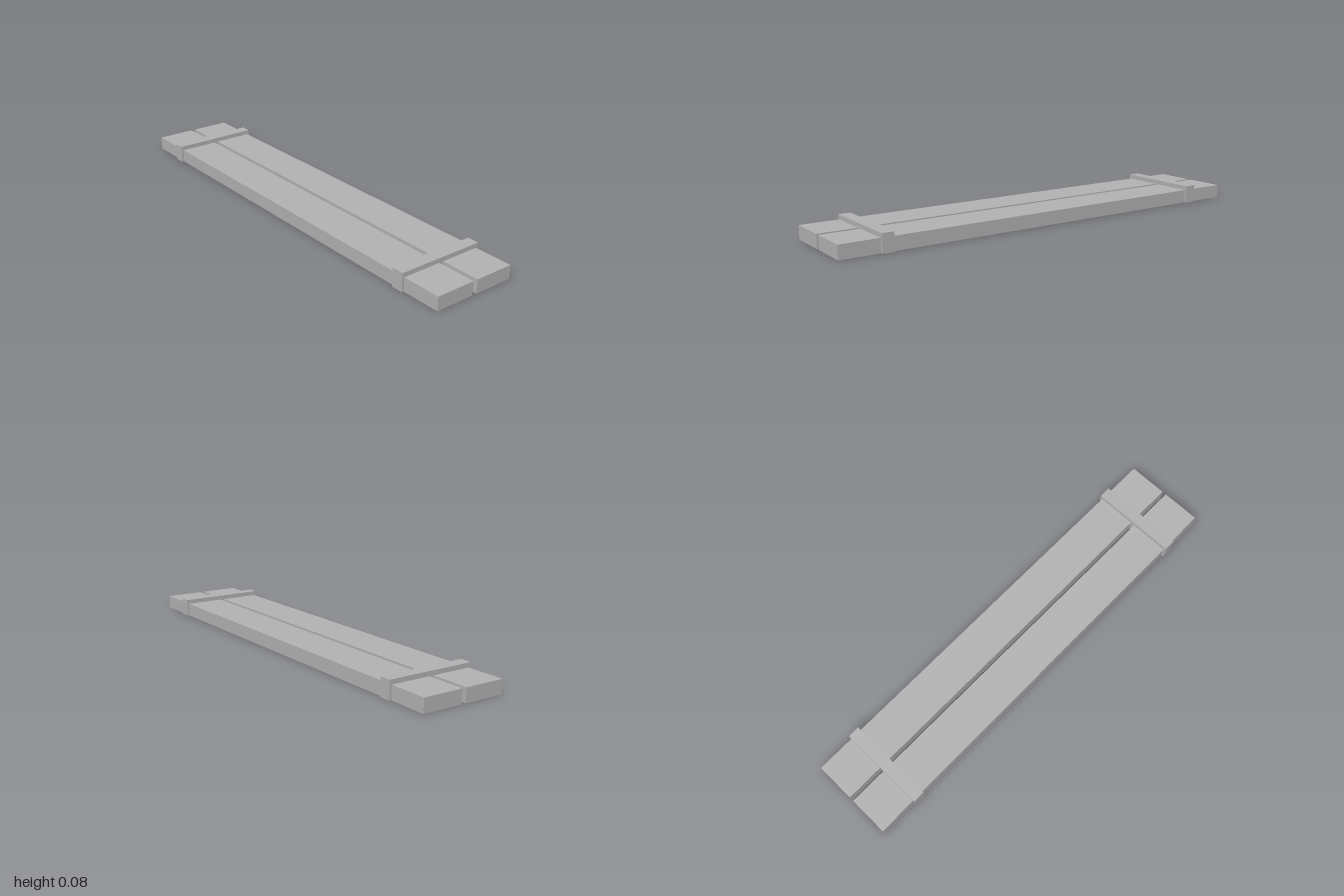
import * as THREE from 'three';

export function createModel() {
  const group = new THREE.Group();
  const grey = new THREE.MeshStandardMaterial({ color: 0xb2b2b2 });
  grey.name = 'plain grey';

  // Box standing on y = 0
  const addBox = (name, width, height, depth, x, z) => {
    const mesh = new THREE.Mesh(new THREE.BoxGeometry(width, height, depth), grey);
    mesh.name = name;
    mesh.position.set(x, height / 2, z);
    group.add(mesh);
  };

  // Two long planks with a narrow gap between them
  addBox('frontPlank', 2, 0.06, 0.18, 0, 0.1);
  addBox('backPlank', 2, 0.06, 0.18, 0, -0.1);

  // Two cross battens holding the planks together
  addBox('leftBatten', 0.053, 0.08, 0.4, 0.8, 0);
  addBox('rightBatten', 0.053, 0.08, 0.4, -0.8, 0);

  return group;
}
